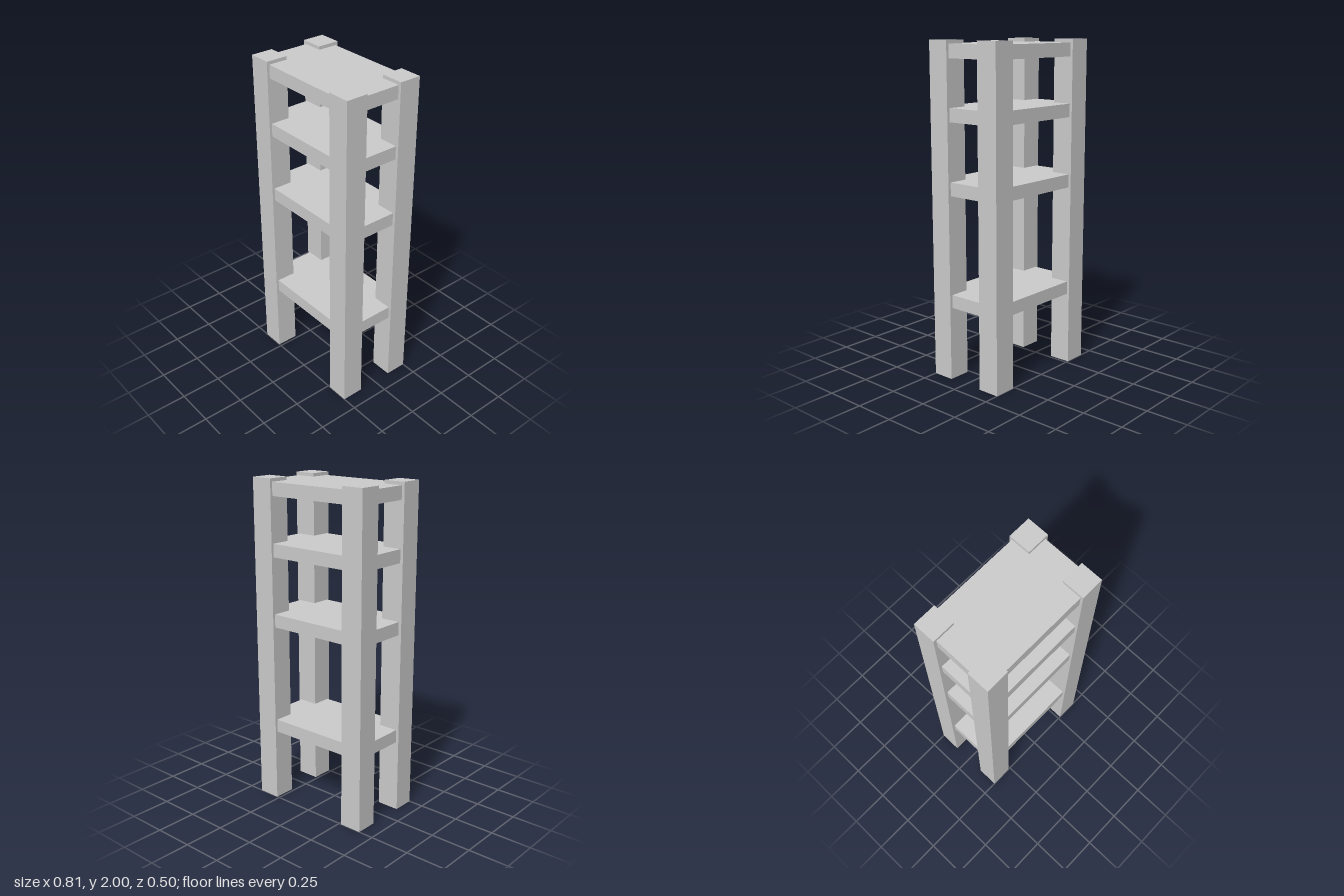
import * as THREE from 'three';

export function createModel() {
  const model = new THREE.Group();
  model.name = 'shelfRack';
  const material = new THREE.MeshStandardMaterial({ color: 0xcccccc, flatShading: true });

  function box(name, w, h, d, x, y, z) {
    const mesh = new THREE.Mesh(new THREE.BoxGeometry(w, h, d), material);
    mesh.name = name;
    mesh.position.set(x, y, z);
    model.add(mesh);
  }

  // Four square corner posts
  for (const [side, sx] of [['Left', 1], ['Right', -1]]) {
    for (const [end, sz] of [['front', 1], ['back', -1]]) {
      box(`${end}${side}Post`, 0.139, 2, 0.135, sx * 0.336, 1, sz * 0.183);
    }
  }

  // Four boards, set slightly inside the outer faces of the posts
  const thickness = 0.08;
  [0.525, 1.2, 1.625, 1.98].forEach((top, i) => {
    box(`shelf${i + 1}`, 0.775, thickness, 0.47, 0, top - thickness / 2, 0);
  });

  return model;
}
